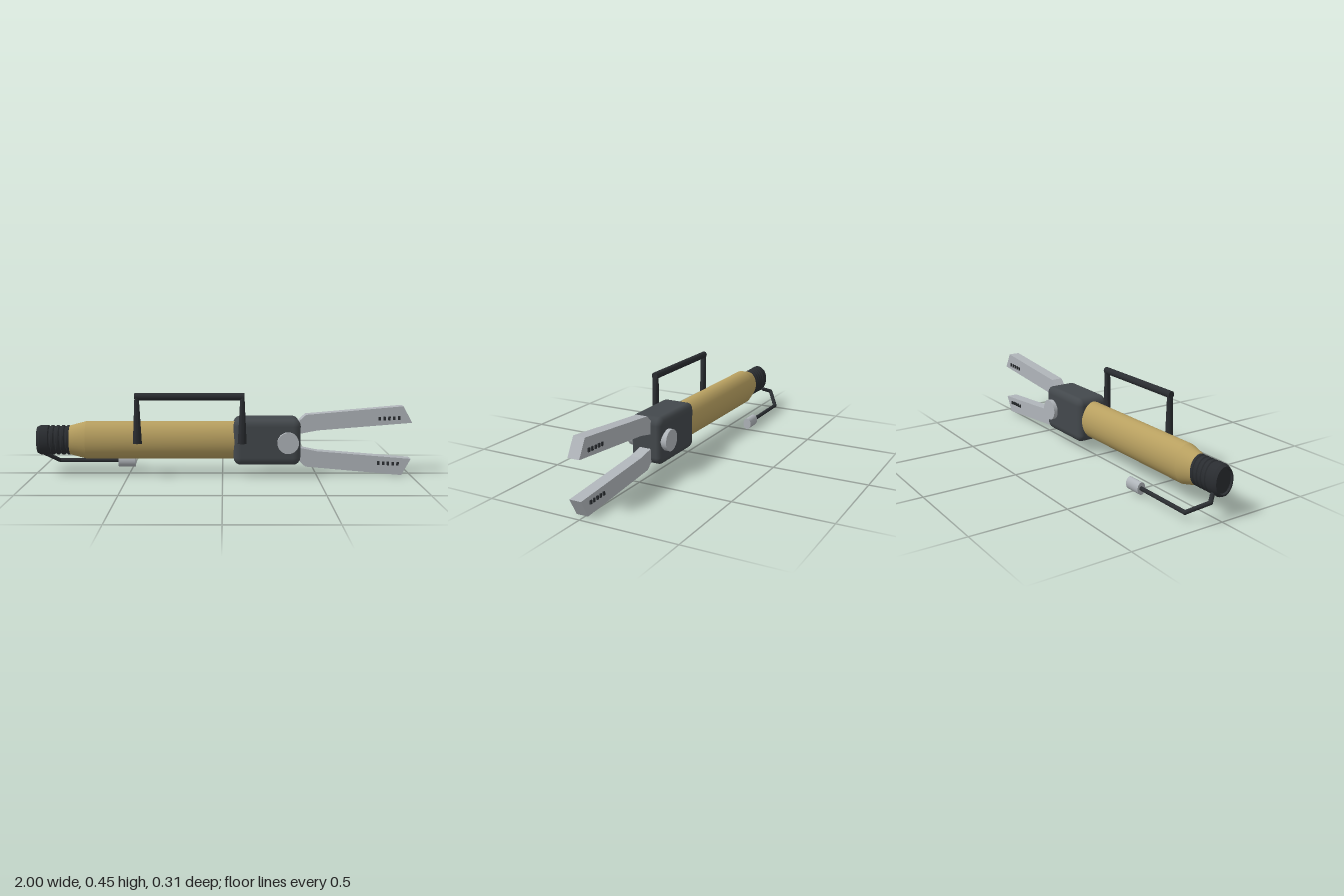
import * as THREE from 'three';
import { toCreasedNormals } from 'three/addons/utils/BufferGeometryUtils.js';
import { RoundedBoxGeometry } from 'three/addons/geometries/RoundedBoxGeometry.js';

const AXIS_Y = 0.187, AXIS_Z = 0.018, SQUASH = 0.72;

const paint = (color) => new THREE.MeshStandardMaterial({ color });
const tan = paint(0xb8a060);
const black = paint(0x2a2d31);
const charcoal = paint(0x43484c);
const steel = paint(0xb0b5ba);

function add(parent, name, geometry, material, x = 0, y = 0, z = 0) {
  const mesh = new THREE.Mesh(geometry, material);
  mesh.name = name;
  mesh.position.set(x, y, z);
  parent.add(mesh);
  return mesh;
}

// Turned shape along x from [radius, x] pairs in ascending x
function turned(points) {
  const profile = points.map(([r, x]) => new THREE.Vector2(r, x));
  const geometry = new THREE.LatheGeometry(profile, 32).rotateZ(-Math.PI / 2);
  return toCreasedNormals(geometry, 0.23);
}

// Straight rods joined by round elbows
function bentRod(parent, name, points, radius, material) {
  const path = new THREE.CurvePath();
  points.slice(1).forEach((p, i) => path.add(new THREE.LineCurve3(points[i], p)));
  path.curves.forEach((line) =>
    add(parent, name, new THREE.TubeGeometry(line, 1, radius, 10), material));
  points.forEach((p) =>
    add(parent, name + 'Elbow', new THREE.SphereGeometry(radius, 10, 8), material, p.x, p.y, p.z));
}

export function createModel() {
  const model = new THREE.Group();
  model.name = 'gripperTool';

  // Core parts share one axis and an oval section
  const core = new THREE.Group();
  core.name = 'core';
  core.position.set(0, AXIS_Y, AXIS_Z);
  core.scale.z = SQUASH;
  model.add(core);

  add(core, 'barrel', turned([
    [0, -0.815], [0.077, -0.815], [0.101, -0.725], [0.101, 0.1], [0, 0.1],
  ]), tan);

  // Rear cap with ribbed grip
  const cap = [[0, -0.975], [0.06, -0.975], [0.063, -0.985], [0.071, -0.985], [0.08, -0.967], [0.08, -0.925]];
  for (let i = 0; i < 4; i++) {
    const x = -0.92 + i * 0.028;
    cap.push([0.073, x], [0.073, x + 0.006], [0.079, x + 0.01], [0.079, x + 0.022]);
  }
  cap.push([0.07, -0.805]);
  add(core, 'rearCap', turned(cap), black);

  // Head housing and pivot pin
  add(core, 'housing', new RoundedBoxGeometry(0.352, 0.245, 0.248, 4, 0.04), charcoal, 0.234);
  const pin = new THREE.CylinderGeometry(0.056, 0.056, 0.31, 32).rotateX(Math.PI / 2);
  add(core, 'pivotPin', pin, steel, 0.342);

  // Two mirrored jaws with slot marks
  const jawOutline = [[0.33, 0.02], [0.39, 0.093], [0.44, 0.139], [0.952, 0.185], [1, 0.097], [0.5, 0.056], [0.41, 0.038]];
  for (const side of [1, -1]) {
    const jaw = new THREE.Group();
    jaw.name = side > 0 ? 'upperJaw' : 'lowerJaw';
    jaw.position.set(0, AXIS_Y, AXIS_Z);
    model.add(jaw);
    const shape = new THREE.Shape(jawOutline.map(([x, y]) => new THREE.Vector2(x, y * side)));
    const blade = new THREE.ExtrudeGeometry(shape, { depth: 0.062, bevelEnabled: false });
    add(jaw, 'jawBlade', blade, steel, 0, 0, -0.031);
    for (let i = 0; i < 5; i++) {
      const slot = new THREE.BoxGeometry(0.012, 0.019, 0.074);
      add(jaw, 'jawSlot', slot, black, 0.828 + i * 0.0255, side * (0.119 + i * 0.001), 0);
    }
  }

  // Carrying handle: bar on two posts that taper in width only
  const handle = new THREE.Group();
  handle.name = 'handle';
  handle.position.z = 0.138;
  model.add(handle);
  const bar = new THREE.CylinderGeometry(0.019, 0.019, 0.565, 14).rotateZ(Math.PI / 2);
  bar.scale(1, 1, 0.9);
  add(handle, 'handleBar', bar, black, -0.17, 0.434);
  for (const x of [-0.442, 0.102]) {
    const post = new THREE.CylinderGeometry(0.017, 0.017, 0.246, 14);
    const p = post.attributes.position;
    for (let i = 0; i < p.count; i++) {
      const t = p.getY(i) / 0.246 + 0.5;
      p.setX(i, p.getX(i) * THREE.MathUtils.lerp(1.4, 0.65, t));
    }
    post.computeVertexNormals();
    add(handle, 'handlePost', toCreasedNormals(post, 0.7), black, x, 0.311);
  }

  // Bent rear lever with end knob
  const lever = new THREE.Group();
  lever.name = 'lever';
  model.add(lever);
  bentRod(lever, 'leverRod', [
    [-0.955, 0.125, -0.025], [-0.988, 0.108, -0.064], [-0.9, 0.045, -0.133], [-0.56, 0.045, -0.133],
  ].map((p) => new THREE.Vector3(...p)), 0.011, black);
  const knob = new THREE.CylinderGeometry(0.032, 0.032, 0.094, 24).rotateZ(Math.PI / 2);
  knob.scale(1, 1, SQUASH);
  add(lever, 'leverKnob', knob, steel, -0.529, 0.043, -0.131);

  return model;
}
